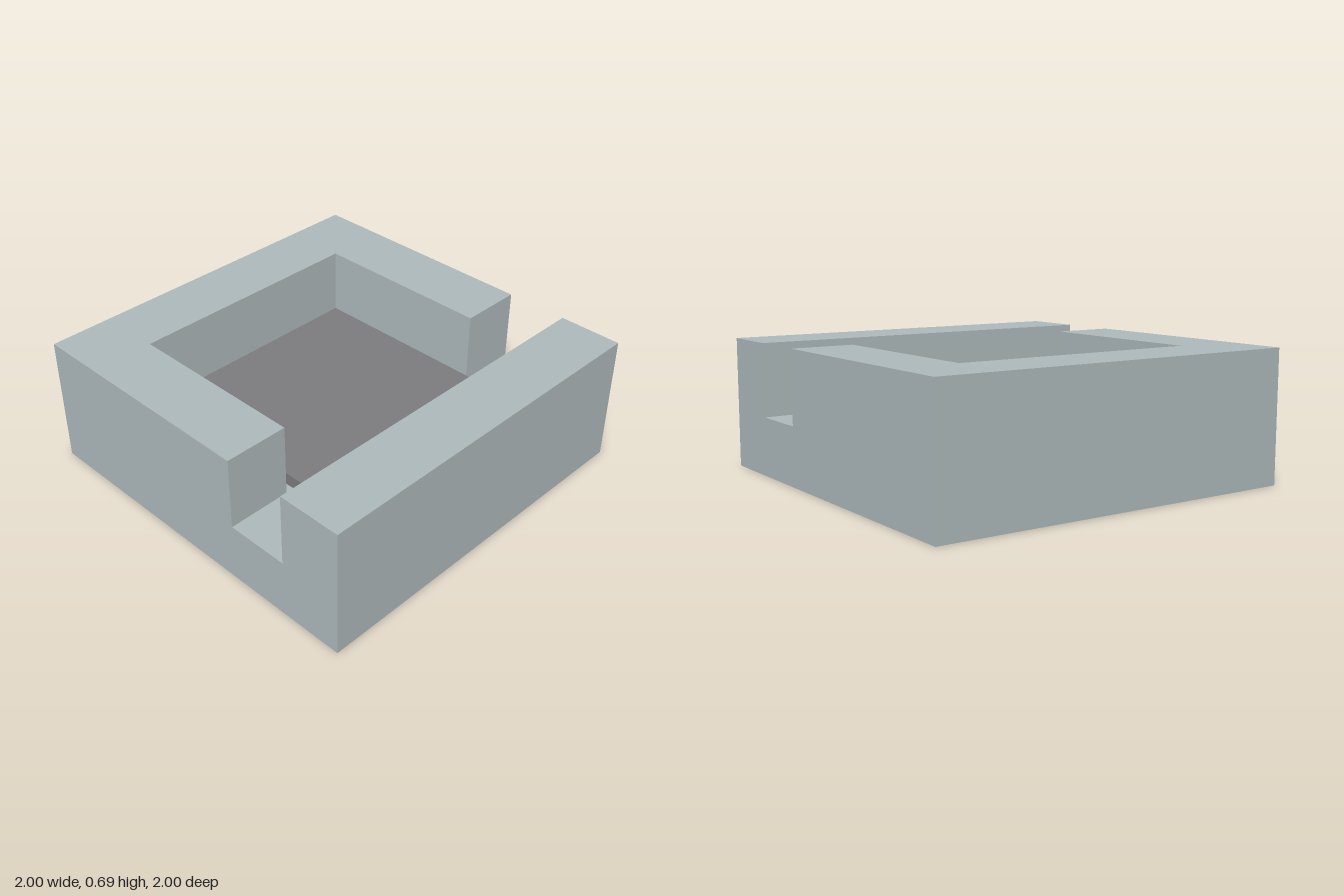
import * as THREE from 'three';

const HEIGHT = 0.695, FLOOR = 0.31, INNER = 0.66, SLOT = 0.325;

export function createModel() {
  const group = new THREE.Group();
  const stone = new THREE.MeshStandardMaterial({ color: 0xaeb9bb });
  stone.name = 'paleGreyStone';
  const dark = new THREE.MeshStandardMaterial({ color: 0x7c7c7e });
  dark.name = 'darkGrey';

  const add = (name, geometry, material, y = 0, z = 0) => {
    const mesh = new THREE.Mesh(geometry, material);
    mesh.name = name;
    mesh.position.set(0, y, z);
    group.add(mesh);
  };

  // Solid slab under the recess and the cross channel
  add('base', new THREE.BoxGeometry(2, FLOOR, 2), stone, FLOOR / 2);

  // Front wall, separated from the rest by the channel
  const wallHeight = HEIGHT - FLOOR;
  add('frontWall', new THREE.BoxGeometry(2, wallHeight, 1 - INNER), stone,
    FLOOR + wallHeight / 2, (1 + INNER) / 2);

  // U-shaped back and side walls, drawn in plan (shape y = -z)
  const plan = new THREE.Shape([
    [-1, -SLOT], [-INNER, -SLOT], [-INNER, INNER], [INNER, INNER],
    [INNER, -SLOT], [1, -SLOT], [1, 1], [-1, 1],
  ].map(([x, y]) => new THREE.Vector2(x, y)));
  const walls = new THREE.ExtrudeGeometry(plan, { depth: wallHeight, bevelEnabled: false });
  walls.rotateX(-Math.PI / 2);
  add('backAndSideWalls', walls, stone, FLOOR);

  // Square pad lying in the recess
  const padHeight = 0.065;
  add('pad', new THREE.BoxGeometry(1.23, padHeight, 1.23), dark, FLOOR + padHeight / 2);

  return group;
}
